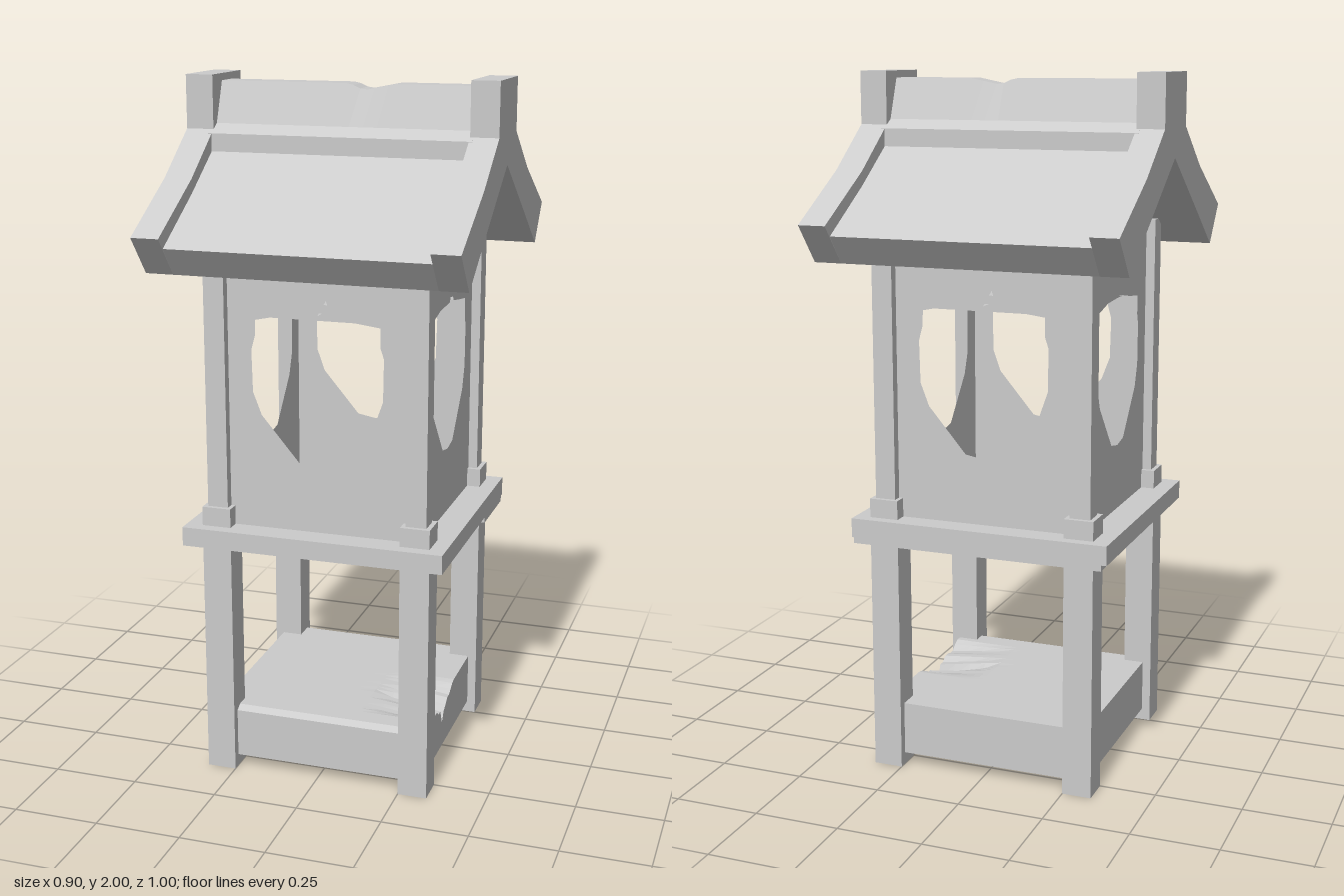
import * as THREE from 'three';

const material = new THREE.MeshStandardMaterial({ color: 0xcccccc, flatShading: true });

export function createModel() {
  const group = new THREE.Group();
  const add = (name, geometry) => {
    const mesh = new THREE.Mesh(geometry, material);
    mesh.name = name;
    group.add(mesh);
    return mesh;
  };
  const box = (name, x0, x1, y0, y1, z0, z1) =>
    add(name, new THREE.BoxGeometry(x1 - x0, y1 - y0, z1 - z0))
      .position.set((x0 + x1) / 2, (y0 + y1) / 2, (z0 + z1) / 2);
  const points = (list) => list.map(([a, b]) => new THREE.Vector2(a, b));
  // Closed outline mirrored about the vertical axis: upper side then underside
  const mirrored = (list) =>
    new THREE.Shape(points([...list, ...list.slice().reverse().map(([a, b]) => [-a, b])]));
  const extrude = (shape, depth, steps = 1) =>
    new THREE.ExtrudeGeometry(shape, { depth, steps, bevelEnabled: false, curveSegments: 1 });

  // Corner legs, post feet and upper posts
  for (const sx of [-1, 1]) {
    for (const sz of [-1, 1]) {
      const column = (name, a, b, y0, y1) => {
        const xs = [sx * a, sx * b].sort((p, q) => p - q);
        const zs = [sz * a, sz * b].sort((p, q) => p - q);
        box(name, xs[0], xs[1], y0, y1, zs[0], zs[1]);
      };
      column('leg', 0.25, 0.335, 0, 0.71);
      column('postFoot', 0.25, 0.335, 0.75, 0.81);
      column('post', 0.262, 0.322, 0.8, 1.57);
    }
  }

  // Lower shelf with a splintered notch in its +x edge
  const shelf = new THREE.BoxGeometry(0.62, 0.155, 0.62, 12, 1, 31);
  shelf.translate(0, 0.1125, 0);
  const bite = [0.01, 0.025, 0.02, 0.03, 0.02, 0.035, 0.08, 0.05, 0.03, 0.04, 0.025, 0.015, 0.01, 0.004];
  const p = shelf.attributes.position;
  for (let i = 0; i < p.count; i++) {
    if (p.getY(i) < 0.15) continue;
    const k = Math.round((0.2 - p.getZ(i)) / 0.02);
    const reach = (p.getX(i) - 0.1) / 0.21;
    if (k >= 0 && k < bite.length && reach > 0) p.setY(i, 0.19 - bite[k] * reach);
    if (p.getZ(i) > 0.3) p.setY(i, 0.178);
  }
  shelf.computeVertexNormals();
  add('shelf', shelf);

  // Platform and the uneven board under its back half
  box('platform', -0.383, 0.38, 0.7, 0.755, -0.365, 0.37);
  box('platformUnderBoard', -0.365, 0.378, 0.68, 0.702, -0.358, -0.14);

  // Chamber walls with chipped, flat-topped openings
  const opening = () => new THREE.Path(points([
    [-0.18, 1.355], [-0.1, 1.372], [0, 1.376], [0.025, 1.42], [0.04, 1.375], [0.1, 1.365],
    [0.18, 1.355], [0.18, 1.3], [0.19, 1.27], [0.188, 1.15], [0.165, 1.085], [0.055, 0.955], [0, 0.945],
    [-0.055, 0.955], [-0.165, 1.085], [-0.19, 1.15], [-0.193, 1.27], [-0.182, 1.31],
  ]));
  const wall = (name, outline, turn) => {
    const shape = mirrored(outline);
    shape.holes.push(opening());
    const geometry = extrude(shape, 0.045);
    geometry.translate(0, 0, 0.25);
    geometry.rotateY(turn * Math.PI / 2);
    add(name, geometry);
  };
  const flatWall = [[0.285, 1.59], [0.285, 0.75]];
  const gableWall = [[0, 1.78], [0.26, 1.61], [0.285, 1.59], [0.285, 0.75]];
  wall('frontWall', flatWall, 0);
  wall('leftWall', gableWall, 1);
  wall('backWall', flatWall, 2);
  wall('rightWall', gableWall, 3);
  box('chamberCeiling', -0.255, 0.255, 1.355, 1.4, -0.255, 0.255);

  // Roof panels and ridge, with a chip in the ridge top
  const underside = [[0.41, 1.49], [0.25, 1.6], [0, 1.768]];
  const roof = extrude(mirrored([
    [0.036, 1.98], [0.08, 1.865], [0.122, 1.84], [0.122, 1.79], [0.27, 1.69], [0.472, 1.57], ...underside,
  ]), 0.76, 38);
  roof.translate(0, 0, -0.38);
  roof.rotateY(Math.PI / 2);
  const r = roof.attributes.position;
  for (let i = 0; i < r.count; i++) {
    const x = r.getX(i);
    if (r.getY(i) > 1.97 && x > 0.01 && x < 0.14) {
      r.setY(i, 1.98 - 0.018 * Math.min((x - 0.01) / 0.04, (0.14 - x) / 0.09));
    }
  }
  roof.computeVertexNormals();
  add('roof', roof);

  // Raised gable end boards
  for (const side of [-1, 1]) {
    const board = extrude(mirrored([
      [0.106, 2], [0.106, 1.85], [0.27, 1.73], [0.5, 1.6], ...underside,
    ]), 0.08);
    board.translate(0, 0, side > 0 ? 0.37 : -0.45);
    board.rotateY(Math.PI / 2);
    add(side > 0 ? 'leftGableBoard' : 'rightGableBoard', board);
  }
  return group;
}
